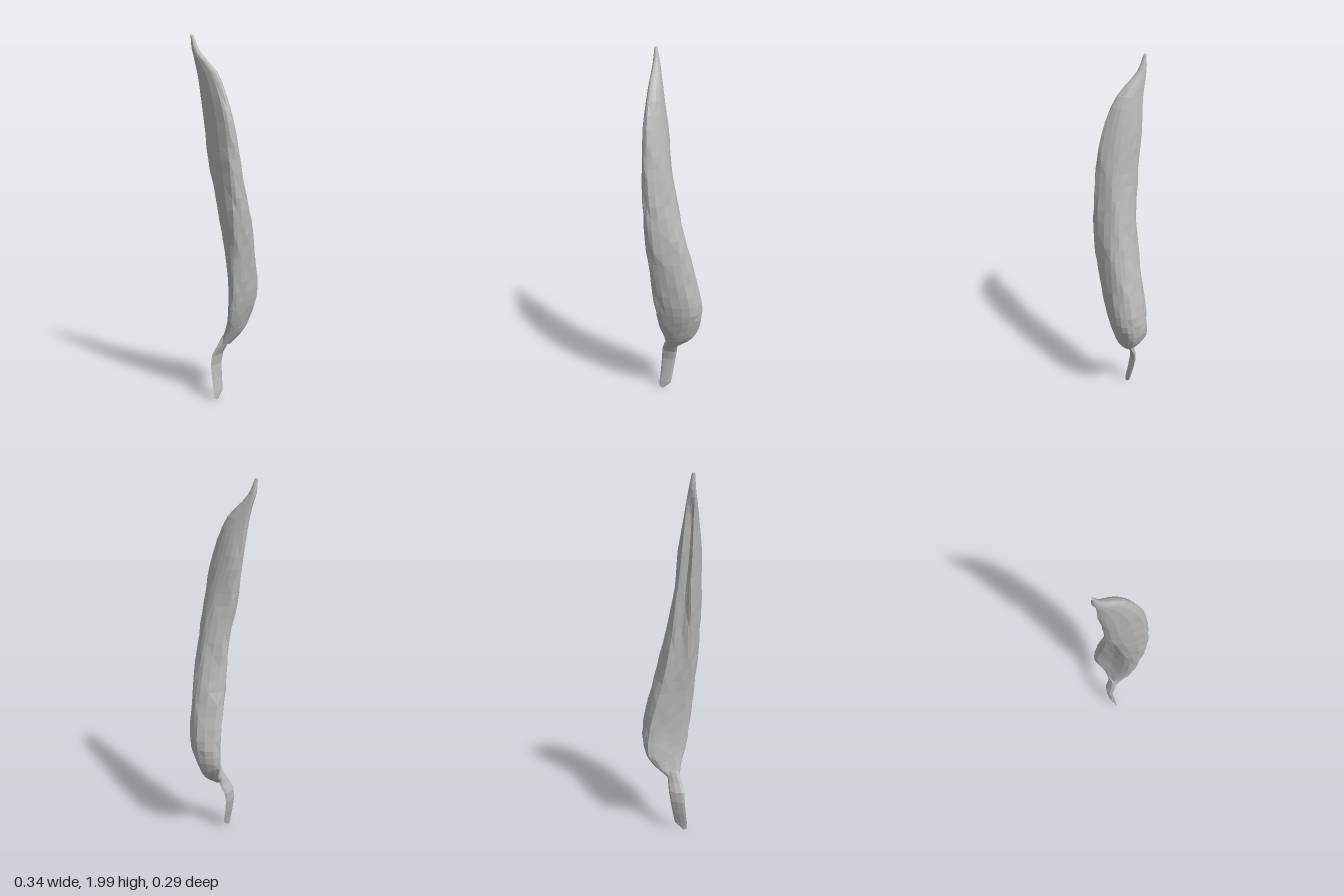
import * as THREE from 'three';

// Dry leaf, curled lengthwise: seven (x, z) points per height, counterclockwise from the front left fold
const SECTIONS = [
  [0.40, -.045, .01, 0, .03, .06, .02, .11, -.04, .06, -.09, .005, -.05, -.04, -.02],
  [0.48, -.05, .05, .01, .06, .11, .025, .15, -.05, .09, -.13, .015, -.045, -.05, .02],
  [0.60, -.06, .08, .01, .09, .14, .045, .172, -.04, .09, -.13, .015, -.035, -.06, .04],
  [0.80, -.075, .105, -.01, .12, .11, .065, .14, -.02, .045, -.11, -.015, -.03, -.075, .05],
  [1.00, -.09, .125, -.03, .145, .08, .07, .09, 0, 0, -.09, -.05, -.03, -.095, .02],
  [1.20, -.105, .125, -.05, .145, .035, .06, .04, 0, -.03, -.08, -.07, -.04, -.11, -.02],
  [1.40, -.115, .11, -.07, .13, -.005, .05, -.01, -.01, -.06, -.09, -.09, -.05, -.125, -.06],
  [1.60, -.125, .08, -.09, .10, -.045, .03, -.05, -.06, -.095, -.11, -.115, -.06, -.138, -.075],
  [1.80, -.14, 0, -.115, .02, -.085, -.02, -.095, -.08, -.12, -.12, -.137, -.085, -.155, -.10],
];

// Stalk: height, centre x, centre z, half width, half thickness
const STALK = [
  [0.01, -.09, -.036, .012, .004],
  [0.05, -.068, -.044, .036, .006],
  [0.12, -.064, -.060, .039, .009],
  [0.20, -.060, -.073, .042, .011],
  [0.26, -.052, -.070, .045, .015],
  [0.31, -.034, -.050, .042, .017],
  [0.37, -.010, -.035, .035, .022],
];

const oval = (n, x, y, z, rx, rz, start = 0) => Array.from({ length: n }, (_, i) => {
  const a = start + (i / n) * Math.PI * 2;
  return new THREE.Vector3(x + Math.cos(a) * rx, y, z - Math.sin(a) * rz);
});

// Skin between closed rings, listed from bottom to top
function loft(rings) {
  const n = rings[0].length;
  const index = [];
  for (let i = 0; i < rings.length - 1; i++) {
    for (let j = 0; j < n; j++) {
      const a = i * n + j, b = i * n + (j + 1) % n;
      // alternate the diagonal for a crumpled surface
      if ((i + j) % 3) index.push(a, b, b + n, a, b + n, a + n);
      else index.push(a, b, a + n, b, b + n, a + n);
    }
  }
  const geometry = new THREE.BufferGeometry().setFromPoints(rings.flat());
  geometry.setIndex(index);
  geometry.computeVertexNormals();
  return geometry;
}

// Closed end made by shrinking a ring to its centre
function pinch(ring) {
  const c = ring.reduce((s, p) => s.add(p), new THREE.Vector3()).divideScalar(ring.length);
  return ring.map(() => c.clone());
}

function bladeGeometry() {
  const rows = SECTIONS.map(([y, ...p]) =>
    Array.from({ length: 7 }, (_, k) => new THREE.Vector3(p[2 * k], y, p[2 * k + 1])));
  rows.unshift(oval(7, -.018, .325, -.035, .035, .022, Math.PI * 1.2));
  rows.push(oval(7, -.152, 1.92, -.115, .018, .024, Math.PI * 1.2));
  rows.push(oval(7, -.165, 2, -.132, .008, .006, Math.PI * 1.2));

  const ribs = Array.from({ length: 7 }, (_, k) => new THREE.CatmullRomCurve3(rows.map(r => r[k])));
  const count = 34, around = 21;
  const rings = [];
  for (let i = 0; i <= count; i++) {
    const loop = new THREE.CatmullRomCurve3(ribs.map(r => r.getPoint(i / count)), true);
    const ring = Array.from({ length: around }, (_, j) => loop.getPoint(j / around));
    const c = pinch(ring)[0];
    // slanting wrinkles, fading toward both ends
    const fade = Math.sin(Math.PI * i / count);
    ring.forEach((p, j) => {
      const w = Math.sin(j * 2.1 + i * 1.3) + 0.6 * Math.sin(j * 4.7 - i * 2.9);
      const k = 1 + 0.022 * fade * w;
      p.x = c.x + (p.x - c.x) * k;
      p.z = c.z + (p.z - c.z) * k;
    });
    rings.push(ring);
  }
  return loft([pinch(rings[0]), ...rings, pinch(rings[count])]);
}

function stalkGeometry() {
  const rings = STALK.map(([y, x, z, w, t]) => {
    const ring = oval(8, x, y, z, w, t);
    // slight twist, and a ragged lower end
    ring.forEach(p => { p.z -= (p.x - x) * 0.15; });
    return ring;
  });
  rings[0].forEach(p => { p.y -= (p.x + .09) * 0.4; });
  return loft([pinch(rings[0]), ...rings, pinch(rings[rings.length - 1])]);
}

export function createModel() {
  const group = new THREE.Group();
  group.name = 'curledLeaf';
  const gray = new THREE.MeshStandardMaterial({ color: 0xb8b8b8, flatShading: true, side: THREE.DoubleSide });
  gray.name = 'leaf gray';

  const blade = new THREE.Mesh(bladeGeometry(), gray);
  blade.name = 'leafBlade';
  const stalk = new THREE.Mesh(stalkGeometry(), gray);
  stalk.name = 'leafStalk';
  group.add(blade, stalk);
  return group;
}
